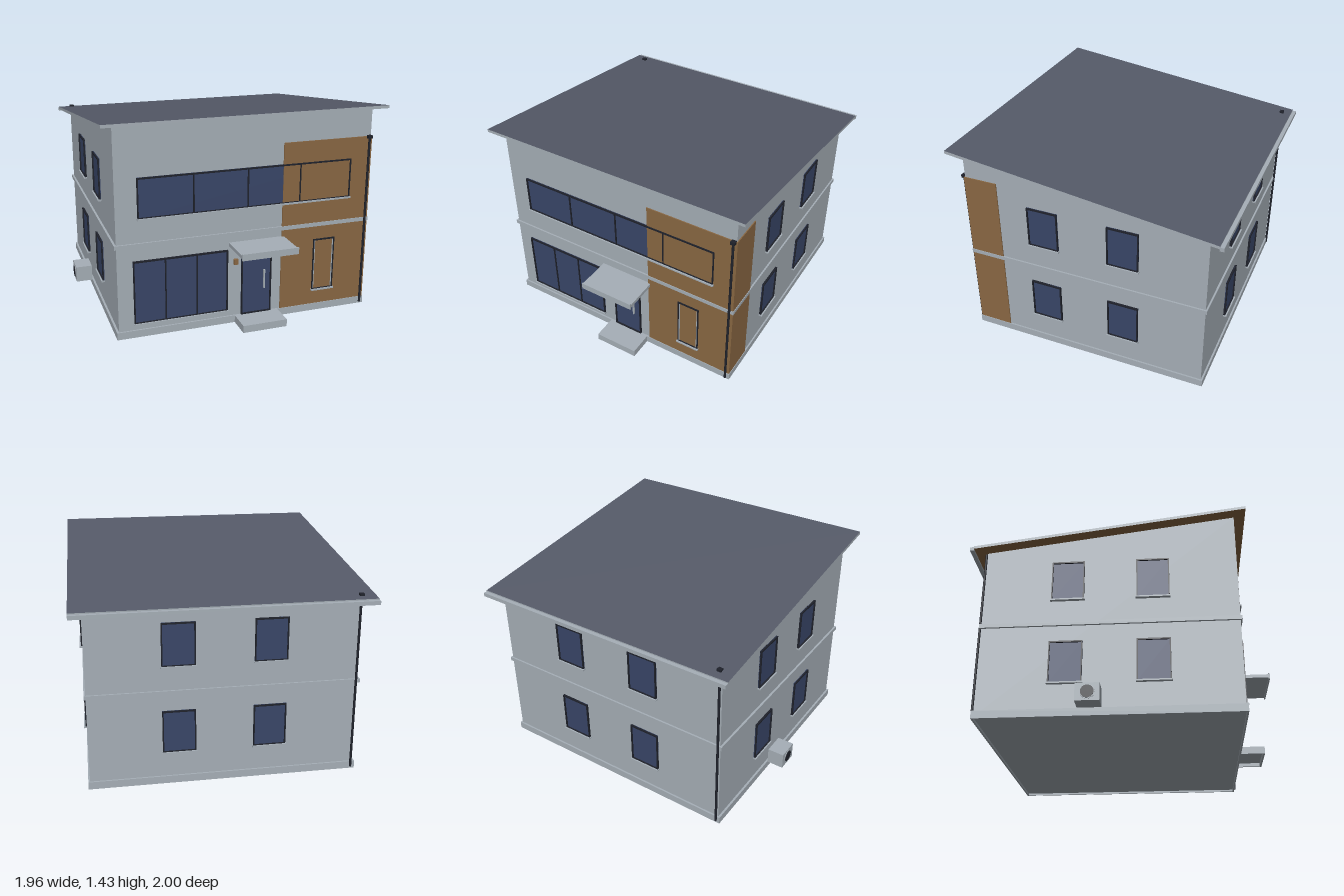
import * as THREE from 'three';

const mat = (name, color) => {
  const m = new THREE.MeshStandardMaterial({ color });
  m.name = name;
  return m;
};

export function createModel() {
  const render = mat('render grey', 0xa6afb7);
  const wood = mat('timber cladding', 0x8a6843);
  const slate = mat('roof slate', 0x555a68);
  const glass = mat('window glass', 0x394668);
  const frame = mat('dark frame', 0x1f222b);

  const house = new THREE.Group();
  house.name = 'house';

  // Box given by its two opposite corners
  function box(parent, name, material, x0, x1, y0, y1, z0, z1) {
    const geo = new THREE.BoxGeometry(x1 - x0, y1 - y0, z1 - z0);
    geo.translate((x0 + x1) / 2, (y0 + y1) / 2, (z0 + z1) / 2);
    const mesh = new THREE.Mesh(geo, material);
    mesh.name = name;
    parent.add(mesh);
    return mesh;
  }

  // Moves the vertices of a mesh up or down by a rule
  function shape(mesh, rule) {
    const p = mesh.geometry.attributes.position;
    for (let i = 0; i < p.count; i++) p.setY(i, rule(p.getY(i), p.getZ(i)));
    mesh.geometry.computeVertexNormals();
  }

  const L = -0.842, R = 0.9, F = 0.754, B = -0.898;
  const roofLine = z => 1.302 + 0.126 * z;

  // Walls under the single pitch roof
  const walls = box(house, 'walls', render, L, R, 0.015, 1, B, F);
  shape(walls, (y, z) => (y > 0.5 ? roofLine(z) + 0.002 : y));

  // Roof: slate above, timber soffit below, grey edges
  const roof = box(house, 'roof', [render, render, slate, wood, render, render],
    -0.922, 0.978, 0, 0.02, -0.974, 0.829);
  shape(roof, (y, z) => y + roofLine(z));
  box(house, 'gutter', render, -0.922, 0.978, 1.166, 1.192, -1.0, -0.973);

  // Plinth and floor band, each a course running round the walls
  for (const [name, y0, y1] of [['plinth', 0, 0.05], ['floorBand', 0.618, 0.645]]) {
    const outline = new THREE.Shape([
      [L - 0.014, -F - 0.011], [R + 0.011, -F - 0.011], [R + 0.011, -B + 0.012], [L - 0.014, -B + 0.012],
    ].map(p => new THREE.Vector2(...p)));
    outline.holes.push(new THREE.Path([[L, -F], [L, -B], [R, -B], [R, -F]].map(p => new THREE.Vector2(...p))));
    const geo = new THREE.ExtrudeGeometry(outline, { depth: y1 - y0, bevelEnabled: false });
    geo.rotateX(-Math.PI / 2);
    const course = new THREE.Mesh(geo, render);
    course.name = name;
    course.position.y = y0;
    house.add(course);
  }

  // Entrance step, hollow underneath
  const step = new THREE.Group();
  step.name = 'entranceStep';
  house.add(step);
  box(step, 'stepTop', render, -0.055, 0.253, 0.025, 0.05, F, 0.928);
  box(step, 'stepFront', render, -0.055, 0.253, 0, 0.025, 0.916, 0.928);
  box(step, 'stepSide', render, -0.055, -0.043, 0, 0.025, F, 0.916);
  box(step, 'stepSide', render, 0.241, 0.253, 0, 0.025, F, 0.916);

  // Timber cladding around the front corner
  box(house, 'frontCladding', wood, 0.273, R + 0.007, 0.05, 1.212, F, F + 0.007);
  box(house, 'sideCladding', wood, R, R + 0.007, 0.05, 1.212, 0.525, F + 0.007);

  // Window facing +z, centred on x, with bars at the given fractions
  function makeWindow(name, w, y0, y1, bars = [], sill = true) {
    const g = new THREE.Group();
    g.name = name;
    const h = w / 2, t = 0.008, d = 0.014;
    box(g, 'pane', glass, -h, h, y0, y1, -0.004, 0.004);
    box(g, 'frameLeft', frame, -h, -h + t, y0, y1, 0, d);
    box(g, 'frameRight', frame, h - t, h, y0, y1, 0, d);
    box(g, 'frameTop', frame, -h, h, y1 - 0.01, y1, 0, d);
    box(g, 'frameBottom', frame, -h, h, y0, y0 + t, 0, d);
    for (const f of bars) {
      const x = -h + f * w;
      box(g, 'mullion', frame, x - 0.004, x + 0.004, y0, y1, 0, d - 0.002);
    }
    if (sill) box(g, 'sill', render, -h - 0.005, h + 0.005, y0 - 0.006, y0 + 0.004, 0, 0.024);
    house.add(g);
    return g;
  }

  // Front windows
  makeWindow('upperStripWindow', 1.46, 0.804, 1.07, [0.25, 0.5, 0.75]).position.set(0.028, 0, F);
  makeWindow('livingRoomWindow', 0.633, 0.094, 0.526, [1 / 3, 2 / 3]).position.set(-0.423, 0, F);
  const slim = makeWindow('slimWindow', 0.157, 0.157, 0.527);
  slim.position.set(0.584, 0, F);
  for (const s of [-1, 1]) {
    box(slim, 'innerTrim', render, s * 0.067 - 0.003, s * 0.067 + 0.003, 0.165, 0.517, 0, 0.011);
  }

  // Two windows per floor on the sides and the back
  for (const [y0, y1] of [[0.22, 0.507], [0.805, 1.09]]) {
    for (const z of [0.207, -0.346]) {
      const left = makeWindow('leftSideWindow', 0.214, y0, y1);
      left.position.set(R, 0, z);
      left.rotation.y = Math.PI / 2;
      const right = makeWindow('rightSideWindow', 0.214, y0, y1);
      right.position.set(L, 0, z);
      right.rotation.y = -Math.PI / 2;
    }
    for (const x of [0.323, -0.265]) {
      const back = makeWindow('backWindow', 0.214, y0, y1);
      back.position.set(x, 0, B);
      back.rotation.y = Math.PI;
    }
  }

  // Front door with transom and handle
  const door = makeWindow('frontDoor', 0.213, 0.05, 0.503, [], false);
  door.position.set(0.096, 0, F);
  box(door, 'transom', frame, -0.106, 0.106, 0.436, 0.444, 0, 0.013);
  box(door, 'handle', render, 0.049, 0.059, 0.225, 0.357, 0.008, 0.02);

  // Canopy and wall lamp
  box(house, 'canopy', render, -0.097, 0.288, 0.55, 0.574, F, 0.993);
  box(house, 'canopyLip', render, -0.097, 0.288, 0.54, 0.584, 0.99, 1.0);
  box(house, 'wallLamp', wood, -0.066, -0.037, 0.419, 0.456, F, F + 0.02);

  // Downpipes at two opposite corners
  for (const [x, z] of [[0.883, 0.771], [-0.829, -0.91]]) {
    const pipe = new THREE.Mesh(new THREE.CylinderGeometry(0.008, 0.008, 1.2, 12), frame);
    pipe.name = 'downpipe';
    pipe.position.set(x, 0.614, z);
    house.add(pipe);
    box(house, 'downpipeHead', frame, x - 0.015, x + 0.015, 1.199, 1.22, z - 0.014, z + 0.014);
  }

  // Air conditioning unit with round fan
  box(house, 'airConditioner', render, -0.973, -0.858, 0.05, 0.163, -0.262, -0.112);
  const fanParts = [['fanRing', 0.048, 0.006, render], ['fan', 0.041, 0.01, frame]];
  for (const [name, r, depth, material] of fanParts) {
    const disc = new THREE.Mesh(new THREE.CylinderGeometry(r, r, depth, 24), material);
    disc.name = name;
    disc.rotation.z = Math.PI / 2;
    disc.position.set(-0.973, 0.107, -0.187);
    house.add(disc);
  }

  return house;
}
